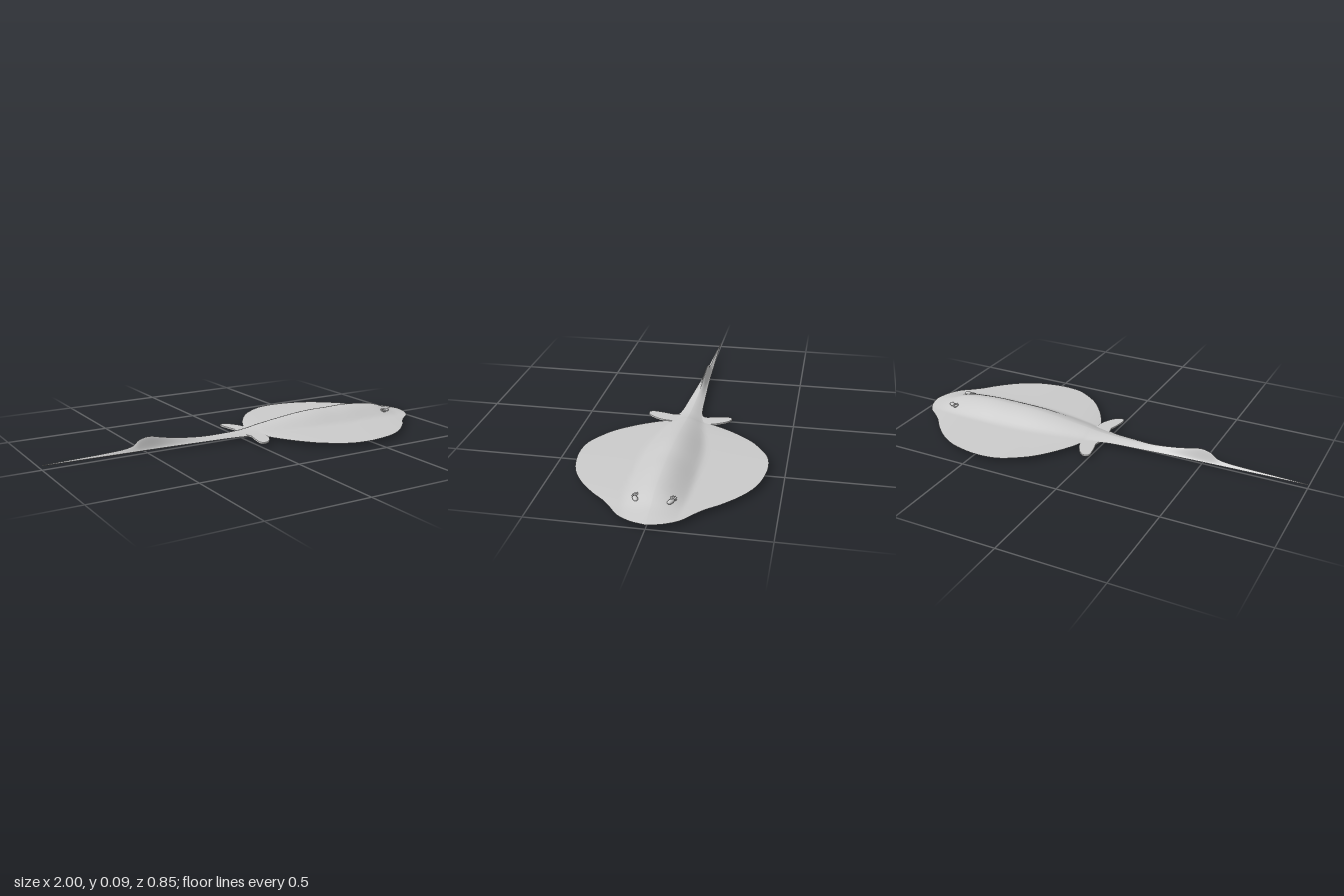
import * as THREE from 'three';

const EDGE = 0.02; // height of the thin outer rim

// Stations from tail tip to snout: x, half width, ridge top, belly, ridge half width, ridge sharpness
const STATIONS = [
  [-1.0, 0.002, 0.022, 0.018, 0.002, 1.2],
  [-0.85, 0.007, 0.026, 0.016, 0.007, 1.2],
  [-0.72, 0.012, 0.029, 0.014, 0.012, 1.4],
  [-0.62, 0.016, 0.034, 0.013, 0.016, 2],
  [-0.57, 0.018, 0.045, 0.013, 0.018, 2.5],
  [-0.54, 0.019, 0.068, 0.013, 0.019, 3],
  [-0.49, 0.021, 0.078, 0.013, 0.021, 3],
  [-0.43, 0.024, 0.066, 0.012, 0.024, 3],
  [-0.36, 0.028, 0.053, 0.012, 0.028, 2.5],
  [-0.27, 0.034, 0.042, 0.011, 0.034, 1.8],
  [-0.18, 0.04, 0.036, 0.011, 0.04, 1.2],
  [-0.09, 0.046, 0.036, 0.01, 0.046, 1.2],
  [-0.02, 0.055, 0.038, 0.01, 0.055, 1.2],
  [0.03, 0.076, 0.041, 0.009, 0.065, 1.2],
  [0.075, 0.1, 0.047, 0.008, 0.074, 1.2],
  [0.1, 0.15, 0.051, 0.007, 0.08, 1.2],
  [0.15, 0.232, 0.057, 0.006, 0.09, 1.2],
  [0.22, 0.318, 0.066, 0.004, 0.104, 1.2],
  [0.29, 0.372, 0.074, 0.003, 0.116, 1.2],
  [0.36, 0.41, 0.081, 0.001, 0.126, 1.2],
  [0.44, 0.424, 0.085, 0, 0.132, 1.2],
  [0.53, 0.418, 0.085, 0, 0.135, 1.2],
  [0.63, 0.392, 0.087, 0.001, 0.135, 1.2],
  [0.72, 0.34, 0.082, 0.003, 0.133, 1.2],
  [0.8, 0.268, 0.073, 0.006, 0.13, 1.2],
];
// The snout closes in a blunt curve
STATIONS.push(
  [0.85, 0.21, 0.06, 0.008, 0.125, 1.2],
  [0.9, 0.166, 0.042, 0.01, 0.12, 1.2],
  [0.95, 0.125, 0.031, 0.013, 0.11, 1.2],
  [0.985, 0.064, 0.024, 0.016, 0.064, 1.2],
  [1.0, 0.001, 0.0205, 0.0195, 0.001, 1.2],
);

const curveOf = (a, b, c) => new THREE.CatmullRomCurve3(
  STATIONS.map((s) => new THREE.Vector3(s[a], s[b], s[c])), false, 'catmullrom', 0.5);
const outline = curveOf(0, 1, 2);
const section = curveOf(3, 4, 5);

// Thin wing plus a rounded ridge along the middle
function skinHeight(z, w, height, ridgeW, sharp) {
  const thin = Math.min(0.013, height * 0.35) * (1 - Math.abs(z) / w);
  const t = Math.min(1, Math.abs(z) / ridgeW);
  const ridge = Math.pow(Math.max(0, Math.cos(t * Math.PI / 2)), sharp);
  return thin + (height - Math.min(0.013, height * 0.35)) * ridge;
}

// Upper or lower skin, lofted across all stations
function skin(upper) {
  const rows = (STATIONS.length - 1) * 3, cols = 48, pos = [], idx = [];
  for (let i = 0; i <= rows; i++) {
    const o = outline.getPoint(i / rows), s = section.getPoint(i / rows);
    const w = Math.max(o.y, 0.001);
    for (let j = 0; j <= cols; j++) {
      const u = (j / cols) * 2 - 1;
      const z = w * Math.sign(u) * Math.pow(Math.abs(u), 1.4);
      const y = upper
        ? EDGE + skinHeight(z, w, o.z - EDGE, Math.min(s.y, w), s.z)
        : EDGE - skinHeight(z, w, EDGE - Math.max(0, s.x), Math.min(s.y * 1.4, w), 1);
      pos.push(Math.min(1, o.x), y, z);
      if (i < rows && j < cols) {
        const a = i * (cols + 1) + j, b = a + 1, c = a + cols + 1, d = c + 1;
        if (upper) idx.push(a, b, c, b, d, c);
        else idx.push(a, c, b, b, c, d);
      }
    }
  }
  const g = new THREE.BufferGeometry();
  g.setAttribute('position', new THREE.Float32BufferAttribute(pos, 3));
  g.setIndex(idx);
  g.computeVertexNormals();
  return g;
}

// Small lobed fin, drawn in plan and laid flat
function pelvicFinGeometry() {
  const s = new THREE.Shape();
  s.moveTo(0.0, 0.03);
  s.lineTo(0.012, 0.085);
  s.quadraticCurveTo(-0.002, 0.13, -0.008, 0.18);
  s.quadraticCurveTo(-0.008, 0.21, 0.02, 0.205);
  s.quadraticCurveTo(0.045, 0.195, 0.062, 0.165);
  s.quadraticCurveTo(0.085, 0.13, 0.085, 0.1);
  s.lineTo(0.1, 0.03);
  const g = new THREE.ExtrudeGeometry(s, {
    depth: 0.004, bevelEnabled: true, bevelThickness: 0.003, bevelSize: 0.004, bevelOffset: -0.004, bevelSegments: 2,
  });
  return g.rotateX(Math.PI / 2).translate(0, 0.023, 0);
}

export function createModel() {
  const model = new THREE.Group();
  const grey = new THREE.MeshStandardMaterial({ color: 0xcccccc });
  const add = (name, geometry) => {
    const m = new THREE.Mesh(geometry, grey);
    m.name = name;
    model.add(m);
    return m;
  };

  add('upperBodyAndTail', skin(true));
  add('lowerBodyAndTail', skin(false));

  // Paired parts on both flanks
  for (const [side, k] of [['right', 1], ['left', -1]]) {
    const fin = add(side + 'PelvicFin', pelvicFinGeometry());
    if (k < 0) fin.rotation.x = Math.PI, fin.position.y = 2 * EDGE - 0.002;

    const eye = add(side + 'Eye', new THREE.SphereGeometry(1, 16, 12));
    eye.scale.set(0.019, 0.009, 0.011);
    eye.position.set(0.855, 0.046, 0.073 * k);
    eye.rotation.y = 0.5 * k;

    const spiracle = add(side + 'SpiracleRim', new THREE.TorusGeometry(0.011, 0.0035, 8, 16));
    spiracle.position.set(0.828, 0.047, 0.08 * k);
    spiracle.rotation.set(Math.PI / 2 + 0.4 * k, 0, 0);
  }
  return model;
}
